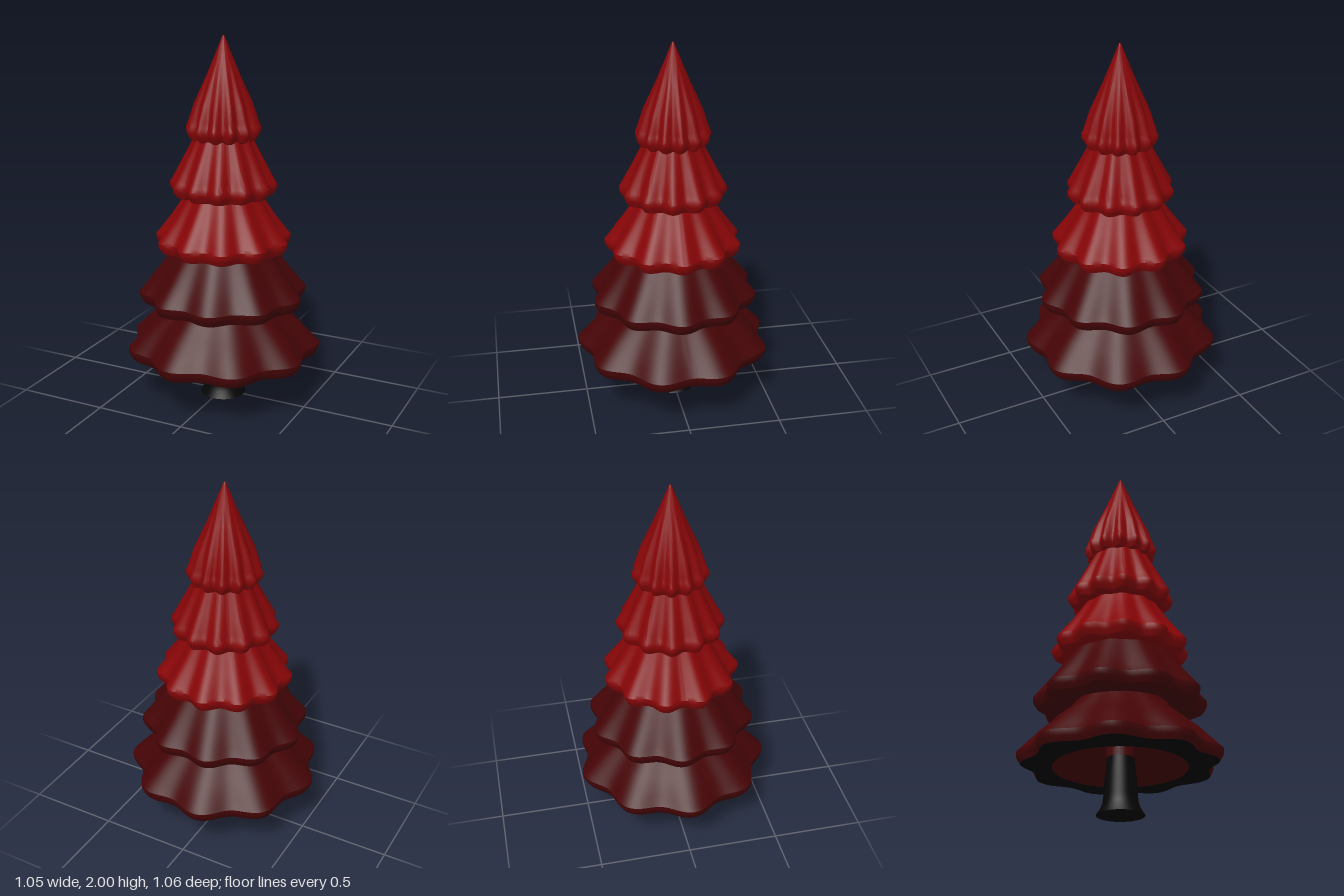
import * as THREE from 'three';
import { toCreasedNormals } from 'three/addons/utils/BufferGeometryUtils.js';

const mat = (name, color) => {
  const m = new THREE.MeshStandardMaterial({ color });
  m.name = name;
  return m;
};

// Lathe a profile of [radius, height, waviness] and ripple it into lobes
function wavyLathe(profile, lobes, phase, amount) {
  const geo = new THREE.LatheGeometry(
    profile.map(([r, y]) => new THREE.Vector2(r, y)), lobes * 14);
  const pos = geo.attributes.position;
  for (let i = 0; i < pos.count; i++) {
    const x = pos.getX(i), z = pos.getZ(i);
    const wave = Math.cos(lobes * (Math.atan2(z, x) - phase));
    const s = 1 + amount * profile[i % profile.length][2] * wave;
    pos.setX(i, x * s);
    pos.setZ(i, z * s);
  }
  geo.deleteAttribute('uv');
  return toCreasedNormals(geo, 0.6);
}

// Hollow underside with a neck around the trunk
const hollowProfile = ({ r, y }) => [
  [0.072, y + 0.05, 0], [0.072, y + 0.11, 0],
  [r * 0.41, y + 0.075, 0], [r * 0.69, y, 0],
];

// Flat ring under the rim
const ringProfile = ({ r, y }) => [
  [r * 0.69, y, 0], [r - 0.035, y, 1], [r - 0.02, y + 0.007, 1],
];

// Bevelled rim and sloping skirt
function skirtProfile({ r, y, mid, top }) {
  const slope = (r - mid[0]) / (mid[1] - y - 0.07);
  const p = [
    [r - 0.02, y + 0.007, 1], [r - 0.005, y + 0.032, 1], [r, y + 0.046, 1],
    [r, y + 0.066, 1], [r - 0.004 - slope * 0.012, y + 0.082, 1],
    [r - 0.003 - slope * 0.04, y + 0.11, 0.95], [mid[0], mid[1], 0.75],
  ];
  if (top) p.push([top[0], top[1], 0.45], [top[0] * 0.82, top[1] + 0.07, 0.4]);
  else p.push([0.088, 1.79, 0.3], [0.05, 1.885, 0.1], [0.012, 1.98, 0], [0.006, 1.995, 0], [0, 2, 0]);
  return p;
}

export function createModel() {
  const group = new THREE.Group();
  const darkRed = mat('dark red', 0x450406);
  const brightRed = mat('bright red', 0x870507);
  const black = mat('trunk black', 0x050505);

  // Trunk with a flared foot
  const trunkPoints = [[0, 0], [0.125, 0], [0.103, 0.035], [0.093, 0.06], [0.088, 0.1],
    [0.08, 0.22], [0.071, 0.3], [0.068, 0.34], [0, 0.34]].map(([x, y]) => new THREE.Vector2(x, y));
  const trunk = new THREE.Mesh(toCreasedNormals(new THREE.LatheGeometry(trunkPoints, 48), 0.6), black);
  trunk.name = 'trunk';
  trunk.position.x = 0.008;
  group.add(trunk);

  // Foliage tiers, from the ground up
  const tiers = [
    { r: 0.508, y: 0.247, mid: [0.398, 0.435], top: [0.262, 0.555], lobes: 9, phase: 18, amount: 0.054, m: darkRed, ring: black },
    { r: 0.438, y: 0.552, mid: [0.354, 0.73], top: [0.268, 0.855], lobes: 10, phase: 3, amount: 0.05, m: darkRed, ring: darkRed },
    { r: 0.351, y: 0.853, mid: [0.27, 1.035], top: [0.197, 1.155], lobes: 11, phase: 0, amount: 0.06, m: brightRed, ring: brightRed },
    { r: 0.271, y: 1.154, mid: [0.217, 1.33], top: [0.157, 1.455], lobes: 12, phase: 10, amount: 0.065, m: brightRed, ring: brightRed },
    { r: 0.186, y: 1.455, mid: [0.148, 1.645], lobes: 13, phase: 24, amount: 0.08, m: brightRed, ring: brightRed },
  ];
  tiers.forEach((t, i) => {
    const tier = new THREE.Group();
    tier.name = 'foliageTier' + (i + 1);
    tier.position.x = 0.007;
    const phase = THREE.MathUtils.degToRad(t.phase);
    const parts = [
      ['hollow', hollowProfile(t), t.m],
      ['rimUnderside', ringProfile(t), t.ring],
      ['skirt', skirtProfile(t), t.m],
    ];
    for (const [name, profile, material] of parts) {
      const mesh = new THREE.Mesh(wavyLathe(profile, t.lobes, phase, t.amount), material);
      mesh.name = name;
      tier.add(mesh);
    }
    group.add(tier);
  });

  return group;
}
